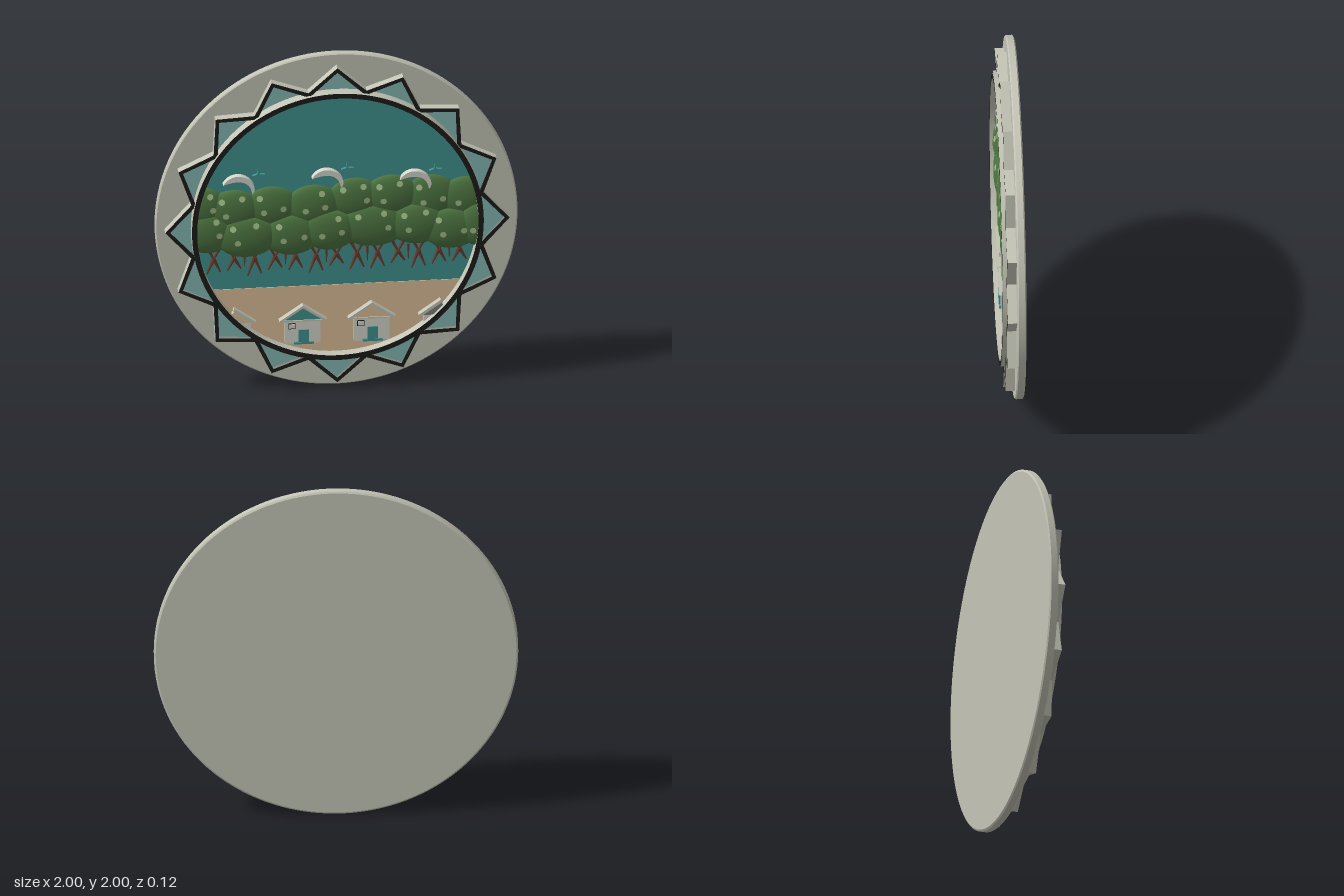
import * as THREE from 'three';

const mat = (name, color) => Object.assign(new THREE.MeshStandardMaterial({ color }), { name });
const CY = 0.985;          // height of the medallion's centre
const INNER = 0.776;       // inside radius of the round frame

export function createModel() {
  const model = new THREE.Group();
  model.name = 'medallion';
  const stone = mat('stone', 0xc4c5b6);
  const black = mat('black edging', 0x1b1b19);
  const teal = mat('teal', 0x3f938f);
  const paleTeal = mat('pale teal', 0x86b9b5);
  const sand = mat('sand', 0xdcc098);
  const green = mat('leaf green', 0x4d7541);
  const spotGreen = mat('blossom green', 0xa3c088);
  const brown = mat('bark brown', 0x6e3d2e);
  const white = mat('off white', 0xd6d7ce);
  const grey = mat('roof grey', 0x7d7d78);

  const add = (name, geo, material, parent = model) => {
    const mesh = new THREE.Mesh(geo, material);
    mesh.name = name;
    parent.add(mesh);
    return mesh;
  };
  const poly = pts => new THREE.Shape(pts.map(p => new THREE.Vector2(p[0], p[1])));
  // Slab of a shape between two depths
  const slab = (shape, z0, z1, curveSegments = 12) =>
    new THREE.ExtrudeGeometry(shape, { depth: z1 - z0, bevelEnabled: false, curveSegments }).translate(0, 0, z0);
  const circle = (r, Kind = THREE.Shape) => new Kind().absarc(0, CY, r, 0, Math.PI * 2);
  const starPts = (tip, valley) => Array.from({ length: 32 }, (_, i) => {
    const a = (i * Math.PI) / 16, r = i % 2 ? valley : tip;
    return [Math.sin(a) * r, CY + Math.cos(a) * r];
  });

  // Backing disc with softened rim
  const rim = [[0, -0.06], [0.99, -0.06], [1, -0.053], [1, -0.019], [0.993, -0.012], [0, -0.012]];
  for (let i = 0; i < rim.length - 1; i++) {
    const band = new THREE.LatheGeometry(rim.slice(i, i + 2).map(p => new THREE.Vector2(p[0], p[1])), 128);
    add('backingDisc', band.rotateX(Math.PI / 2).translate(0, 1, 0), stone);
  }

  // Sixteen-pointed star: pale panels and raised border
  add('starPanels', slab(poly(starPts(0.935, 0.81)), -0.013, -0.005), paleTeal);
  const star = poly(starPts(0.95, 0.822));
  star.holes.push(new THREE.Path(starPts(0.923, 0.795).map(p => new THREE.Vector2(p[0], p[1]))));
  add('starBorder', slab(star, -0.012, 0.04), [black, stone]);

  // Round frame
  const ring = circle(0.805);
  ring.holes.push(circle(INNER, THREE.Path));
  add('roundFrame', slab(ring, -0.012, 0.062, 96), [black, stone]);

  // Water and sky, then the beach in the lower part
  add('waterAndSky', slab(circle(0.79), -0.011, -0.002, 64), teal);
  const shore = Math.asin((0.61 - CY) / 0.785);
  const beach = new THREE.Shape().absarc(0, CY, 0.785, Math.PI - shore, Math.PI * 2 + shore, false);
  add('beach', slab(beach, -0.004, 0.002, 48), sand);

  // Tree crowns: squashed domes held inside the frame
  const crowns = [
    // x, y, half width, half height, base depth
    [-0.74, 1.11, 0.13, 0.12, 0], [-0.57, 1.09, 0.15, 0.12, 0.004], [-0.36, 1.1, 0.15, 0.12, 0],
    [-0.13, 1.1, 0.15, 0.12, 0.004], [0.1, 1.13, 0.15, 0.12, 0], [0.3, 1.14, 0.15, 0.12, 0.004],
    [0.52, 1.12, 0.15, 0.13, 0], [0.71, 1.11, 0.14, 0.12, 0.004],
    [-0.71, 0.96, 0.14, 0.12, 0.012], [-0.5, 0.93, 0.17, 0.12, 0.018], [-0.25, 0.93, 0.16, 0.12, 0.013],
    [-0.04, 0.95, 0.15, 0.12, 0.017], [0.2, 0.965, 0.19, 0.125, 0.013], [0.44, 0.965, 0.16, 0.12, 0.017],
    [0.63, 0.93, 0.16, 0.12, 0.02], [0.78, 0.95, 0.11, 0.13, 0.024],
  ];
  const spots = [[-0.45, 0.5], [0.3, 0.62], [0.42, -0.05], [-0.3, -0.2]];
  const trees = new THREE.Group();
  trees.name = 'trees';
  model.add(trees);
  const DEPTH = 0.036;
  crowns.forEach(([x, y, w, h, z], n) => {
    const geo = new THREE.SphereGeometry(1, 40, 24).rotateX(Math.PI / 2).scale(w, h, DEPTH).translate(x, y, z);
    const p = geo.attributes.position;
    for (let i = 0; i < p.count; i++) {
      const k = Math.min(1, INNER / Math.hypot(p.getX(i), p.getY(i) - CY));
      p.setXYZ(i, p.getX(i) * k, CY + (p.getY(i) - CY) * k, Math.max(-0.004, p.getZ(i)));
    }
    geo.computeVertexNormals();
    add('treeCrown', geo, green, trees);
    // Blossoms lying on the crown
    spots.forEach(([u, v], i) => {
      if ((n + i) % 4 === 3) return;
      const sx = x + u * w, sy = y + v * h;
      if (Math.hypot(sx, sy - CY) > 0.755) return;
      const c = Math.sqrt(1 - u * u - v * v);
      const dot = add('blossom', new THREE.CircleGeometry(0.018, 10), spotGreen, trees);
      dot.position.set(sx, sy, z + DEPTH * c + 0.002);
      dot.lookAt(sx + u / w, sy + v / h, dot.position.z + c / DEPTH);
    });
  });

  // Forked trunks and roots below the crowns
  const limb = (x0, y0, x1, y1, r, z) => {
    const len = Math.hypot(x1 - x0, y1 - y0);
    const m = add('trunk', new THREE.CylinderGeometry(r, r * 0.35, len, 6), brown, trees);
    m.position.set((x0 + x1) / 2, (y0 + y1) / 2, z);
    m.rotation.z = Math.atan2(y0 - y1, x0 - x1) - Math.PI / 2;
  };
  for (let i = 0; i < 13; i++) {
    const x = -0.68 + i * 0.113, y = 0.87, foot = 0.71 + 0.02 * Math.sin(i * 2.3);
    limb(x - 0.035, y, x + 0.012, 0.775, 0.011, 0.008);
    limb(x + 0.035, y, x - 0.012, 0.775, 0.011, 0.008);
    limb(x, 0.8, x - 0.038, foot, 0.012, 0.007);
    limb(x, 0.8, x + 0.038, foot + 0.01, 0.012, 0.007);
    if (i % 2) limb(x + 0.056, 0.84, x + 0.058, 0.75, 0.009, 0.006);
  }

  // Arched crescents with a four-pointed sparkle beside each
  for (const [x, y] of [[-0.54, 1.245], [-0.05, 1.26], [0.435, 1.23]]) {
    const arc = new THREE.Shape();
    arc.moveTo(x - 0.09, y + 0.008);
    arc.bezierCurveTo(x - 0.06, y + 0.07, x + 0.03, y + 0.08, x + 0.075, y + 0.01);
    arc.quadraticCurveTo(x + 0.095, y - 0.03, x + 0.07, y - 0.05);
    arc.bezierCurveTo(x + 0.06, y + 0.02, x + 0.01, y + 0.045, x - 0.09, y + 0.008);
    add('crescent', slab(arc, -0.004, 0.036, 16), white);
    const cx = x + 0.108, cy = y + 0.052;
    const pts = Array.from({ length: 8 }, (_, i) => {
      const r = i % 2 ? 0.01 : 0.035, a = (i * Math.PI) / 4 + 0.1;
      return [cx + Math.cos(a) * r, cy + Math.sin(a) * r];
    });
    add('sparkle', slab(poly(pts), -0.004, 0.018), teal);
  }

  // Two whole houses
  const house = (x, gable) => {
    const g = new THREE.Group();
    g.name = 'house';
    model.add(g);
    const box = (name, cx, cy, w, h, z, m) =>
      add(name, new THREE.BoxGeometry(w, h, z).translate(x + cx, cy, z / 2), m, g);
    box('walls', 0, 0.348, 0.195, 0.14, 0.03, white);
    add('gable', slab(poly([[x - 0.11, 0.415], [x + 0.11, 0.415], [x, 0.492]]), 0, 0.034), gable, g);
    box('eave', 0, 0.416, 0.24, 0.008, 0.04, stone);
    for (const s of [-1, 1]) {
      const strip = [[x, 0.508], [x + s * 0.132, 0.418], [x + s * 0.118, 0.412], [x, 0.492]];
      add('roofSlope', slab(poly(strip), 0, 0.042), stone, g);
    }
    box('door', 0.005, 0.32, 0.058, 0.08, 0.038, teal);
    box('doorStep', 0.005, 0.281, 0.11, 0.012, 0.04, teal);
    box('windowFrame', -0.06, 0.383, 0.04, 0.034, 0.034, black);
    box('windowPane', -0.06, 0.383, 0.032, 0.026, 0.036, white);
  };
  house(-0.19, teal);
  house(0.19, sand);

  // Partly hidden houses at the sides
  for (const [s, roof] of [[-1, sand], [1, grey]]) {
    const at = pts => poly(pts.map(p => [p[0] * s, p[1]]));
    add('sideHouseWall', slab(at([[0.475, 0.415], [0.54, 0.415], [0.475, 0.37]]), 0, 0.025), white);
    add('sideHouseGable', slab(at([[0.46, 0.415], [0.545, 0.415], [0.585, 0.47], [0.56, 0.49]]), 0, 0.034), roof);
    add('sideHouseRoof', slab(at([[0.448, 0.42], [0.462, 0.411], [0.575, 0.487], [0.57, 0.505]]), 0, 0.04), stone);
  }
  return model;
}
